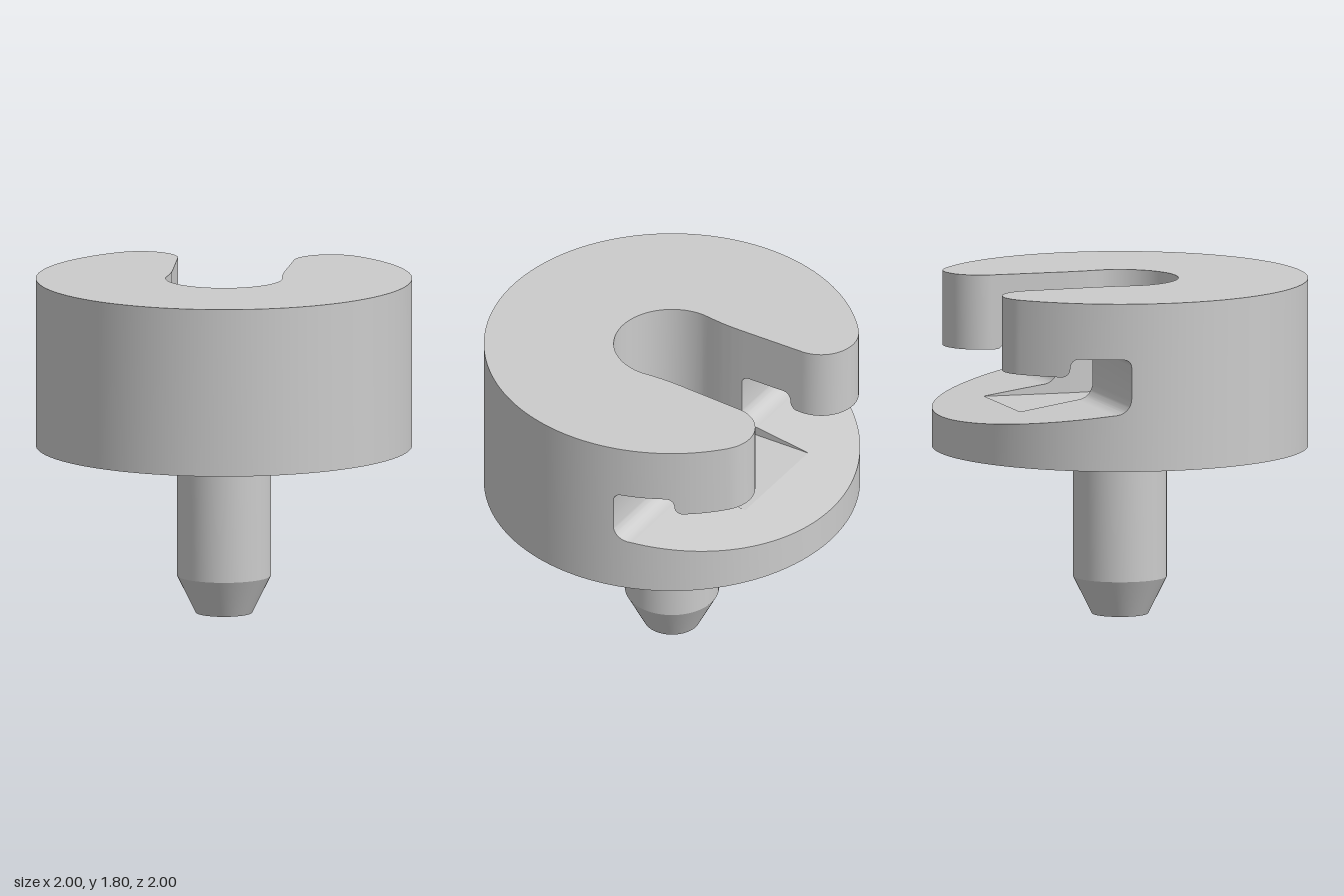
import * as THREE from 'three';
import { mergeGeometries, toCreasedNormals } from 'three/addons/utils/BufferGeometryUtils.js';

const BOTTOM = 0.9, TOP = 1.8, FLOOR = 1.15;   // heights of the head and its slot floor
const BACK = -0.25, FLOOR_END = -0.66;         // side groove back wall, end of slot floor
const SLOT = 0.31, TIP_R = 0.2, TIP_X = 0.51, TIP_Z = -0.615;
const TIP_ANGLE = Math.atan2(TIP_X, -TIP_Z);   // where the rounded tip meets the rim

const steps = (n, f) => Array.from({ length: n + 1 }, (_, i) => f(i / n));

// linear interpolation through [z, value] pairs listed with falling z
function lerpTable(table, z) {
  for (let i = 1; i < table.length; i++) {
    const [z0, v0] = table[i - 1], [z1, v1] = table[i];
    if (z >= z1 - 1e-9) return v0 + (v1 - v0) * Math.min(1, Math.max(0, (z0 - z) / (z0 - z1)));
  }
  return table[table.length - 1][1];
}

// quarter ellipse as [z, y] pairs
const quarter = (cz, cy, rz, ry, a0, a1) =>
  steps(8, t => {
    const a = (a0 + (a1 - a0) * t) * Math.PI / 2;
    return [cz + rz * Math.cos(a), cy + ry * Math.sin(a)];
  });

// groove profile: ramp below, stepped ceiling above
const rampTable = [...quarter(-0.34, 1.29, 0.09, 0.09, 0, -1), [-1, 1.1]];
const lipTable = [
  ...quarter(-0.29, 1.46, 0.04, 0.04, 0, 1),
  ...quarter(-0.51, 1.45, 0.04, 0.05, 1, 2),
  ...quarter(-0.59, 1.45, 0.04, 0.05, 0, -1),
  [TIP_Z - TIP_R, 1.4],
];
const neckTable = [[0, SLOT], [-0.07, 0.303], [-0.12, 0.299], [-0.18, 0.297], [-0.25, 0.298], [TIP_Z, SLOT], [-1, SLOT]];
const ramp = z => lerpTable(rampTable, z);
const lip = z => lerpTable(lipTable, z);
const neck = z => lerpTable(neckTable, z);
const rim = z => Math.sqrt(Math.max(0, 1 - z * z));
const tipHalf = z => Math.sqrt(Math.max(0, TIP_R ** 2 - (z - TIP_Z) ** 2));

// shared z stations, falling from z0 to z1
function stations(z0, z1) {
  const all = [
    z0, z1, TIP_Z, FLOOR_END, -Math.cos(TIP_ANGLE),
    ...rampTable.map(p => p[0]), ...lipTable.map(p => p[0]), ...neckTable.map(p => p[0]),
    ...steps(48, t => -Math.cos(t * Math.PI / 2)),
    ...steps(16, t => TIP_Z - TIP_R * Math.sin(t * Math.PI / 2)),
  ].filter(z => z <= z0 + 1e-9 && z >= z1 - 1e-9).sort((a, b) => b - a);
  return all.filter((z, i) => i === 0 || all[i - 1] - z > 1e-5);
}

function fromPositions(pos) {
  const g = new THREE.BufferGeometry();
  g.setAttribute('position', new THREE.Float32BufferAttribute(pos, 3));
  return g;
}

// strip of quads between pairs of points [a, b]
function sheet(rows) {
  const pos = [];
  for (let i = 1; i < rows.length; i++) {
    const [a0, b0] = rows[i - 1], [a1, b1] = rows[i];
    pos.push(...a0, ...b0, ...b1, ...a0, ...b1, ...a1);
  }
  return fromPositions(pos);
}

// upright wall along a plan path of [x, z]
const wall = (path, low, high) =>
  sheet(path.map(([x, z]) => [[x, low(z), z], [x, high(z), z]]));

// horizontal face from half of a plan outline, mirrored in x
function cap(half, y) {
  const outline = [...half, ...half.slice().reverse().map(([x, z]) => [-x, z])];
  const shape = new THREE.Shape(outline.map(([x, z]) => new THREE.Vector2(x, -z)));
  return bare(new THREE.ShapeGeometry(shape).rotateX(-Math.PI / 2).translate(0, y, 0));
}

function bare(geometry) {
  const g = geometry.toNonIndexed();
  g.deleteAttribute('uv');
  g.deleteAttribute('normal');
  return g;
}

function mirrored(geometry) {
  const p = geometry.attributes.position.array, pos = [];
  for (let i = 0; i < p.length; i += 9)
    for (const k of [0, 6, 3]) pos.push(-p[i + k], p[i + k + 1], p[i + k + 2]);
  return fromPositions(pos);
}

function headGeometry() {
  // plan paths of the +x half, running from the slot round the tip to the front
  const slotArc = steps(32, t => [SLOT * Math.sin(t * Math.PI / 2), SLOT * Math.cos(t * Math.PI / 2)]);
  const alongNeck = (z0, z1) => stations(z0, z1).map(z => [neck(z), z]);
  const slotFront = [...slotArc, ...alongNeck(0, BACK).slice(1)];
  const slotBack = alongNeck(BACK, TIP_Z);
  const tip = steps(32, t => {
    const a = t * (Math.PI / 2 + TIP_ANGLE);
    return [TIP_X - TIP_R * Math.cos(a), TIP_Z - TIP_R * Math.sin(a)];
  });
  const alongRim = z1 => stations(BACK, z1).reverse().map(z => [rim(z), z]);
  const rimBack = alongRim(-Math.cos(TIP_ANGLE));
  const a0 = Math.acos(-BACK);
  const rimFront = steps(72, t => {
    const a = a0 + (Math.PI - a0) * t;
    return [Math.sin(a), -Math.cos(a)];
  });
  const lipPath = [...slotBack, ...tip.slice(1), ...rimBack.slice(1)];

  const bottom = () => BOTTOM, top = () => TOP, floor = () => FLOOR;

  // groove surface: ceiling inward, back wall down, ramp outward
  const lipRows = stations(BACK, TIP_Z - TIP_R).reverse().map(z => {
    const inner = z < TIP_Z ? TIP_X - tipHalf(z) : neck(z);
    const outer = z < -Math.cos(TIP_ANGLE) ? TIP_X + tipHalf(z) : rim(z);
    return [[inner, lip(z), z], [outer, lip(z), z]];
  });
  const rampRow = inner => z => [[inner(z), ramp(z), z], [rim(z), ramp(z), z]];
  const groove = [...lipRows, ...stations(BACK, FLOOR_END).map(rampRow(neck))];
  const rampEnd = stations(FLOOR_END, -1).map(rampRow(() => 0));

  const half = [
    wall(slotFront, floor, top),
    wall(lipPath, lip, top),
    wall(rimFront, bottom, top),
    wall(alongRim(-1), bottom, ramp),
    wall(alongNeck(BACK, FLOOR_END), floor, ramp),
    sheet(groove),
    sheet(rampEnd),
  ];
  const parts = [
    ...half, ...half.map(mirrored),
    cap([...slotFront, ...lipPath.slice(1), ...rimFront.slice(1)], TOP),
    cap([...slotArc, ...alongNeck(0, FLOOR_END).slice(1)], FLOOR),
    bare(new THREE.RingGeometry(0.25, 1, 128).rotateX(Math.PI / 2).translate(0, BOTTOM, 0)),
  ];
  return toCreasedNormals(mergeGeometries(parts), 0.5);
}

export function createModel() {
  const group = new THREE.Group();
  const material = new THREE.MeshStandardMaterial({ color: 0xcccccc, side: THREE.DoubleSide });

  // round head with keyhole slot and cross groove
  const head = new THREE.Mesh(headGeometry(), material);
  head.name = 'slottedHead';

  // pin with tapered end
  const profile = [[0, 0], [0.15, 0], [0.25, 0.2], [0.25, BOTTOM]].map(p => new THREE.Vector2(...p));
  const pin = new THREE.Mesh(toCreasedNormals(new THREE.LatheGeometry(profile, 64), 0.4), material);
  pin.name = 'mountingPin';

  group.add(head, pin);
  return group;
}
